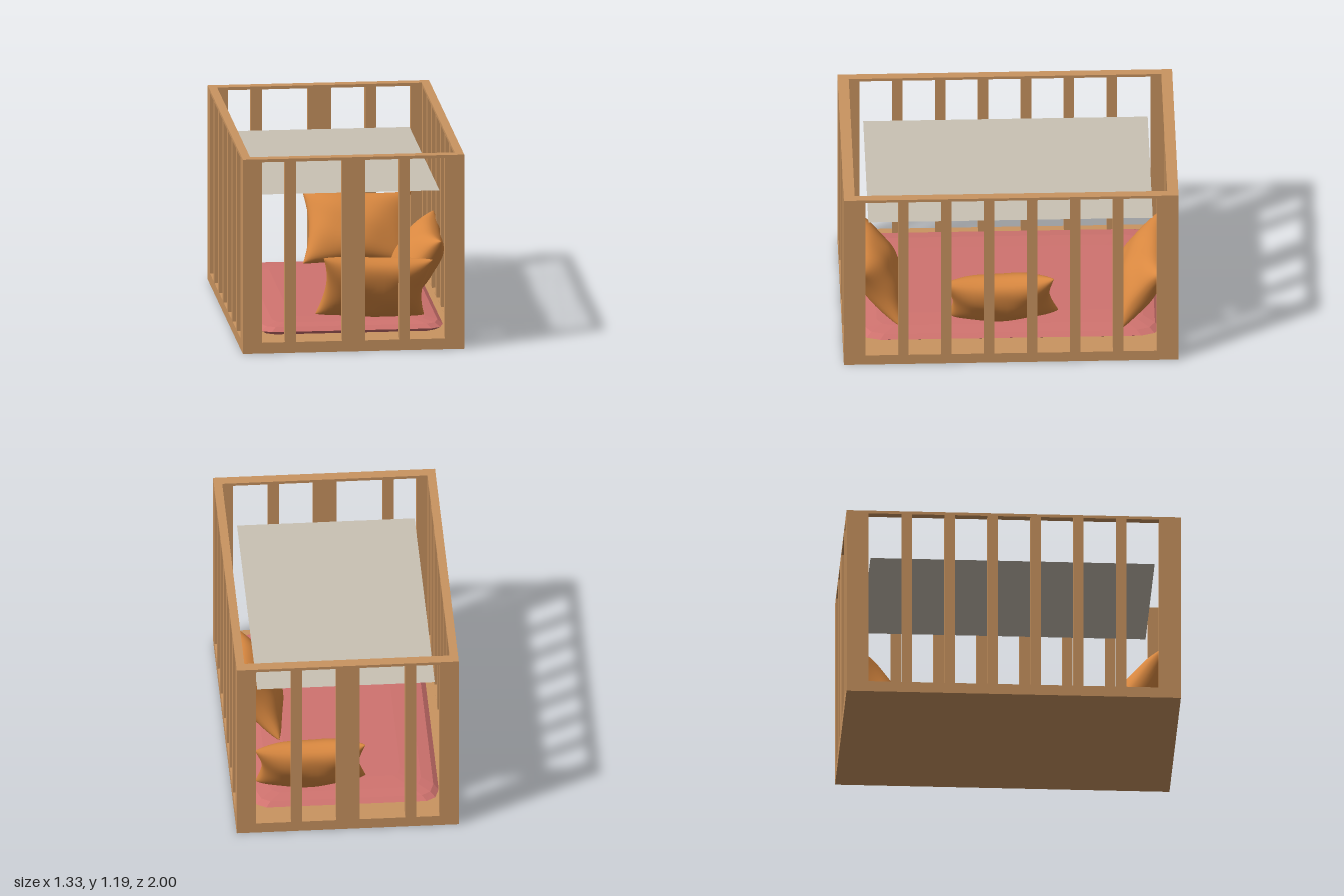
import * as THREE from 'three';
import { mergeVertices, mergeGeometries } from 'three/addons/utils/BufferGeometryUtils.js';

const wood = new THREE.MeshStandardMaterial({ color: 0xc99460 });
wood.name = 'wood';
const pink = new THREE.MeshStandardMaterial({ color: 0xd0736f, flatShading: true });
pink.name = 'mattress pink';
const orange = new THREE.MeshStandardMaterial({ color: 0xd98840 });
orange.name = 'pillow orange';
const grey = new THREE.MeshStandardMaterial({ color: 0xc9c1b4, side: THREE.DoubleSide });
grey.name = 'canopy grey';

const BASE = 0.065, TOP = 1.19, RAIL = 1.172;

function rect(PathType, x0, y0, x1, y1) {
  const p = new PathType();
  p.moveTo(x0, y0);
  p.lineTo(x1, y0);
  p.lineTo(x1, y1);
  p.lineTo(x0, y1);
  p.closePath();
  return p;
}

// Slatted wall: a panel pierced by the openings between its bars
function wall(name, half, depth, openings) {
  const shape = rect(THREE.Shape, -half, BASE, half, TOP);
  for (const [a, b] of openings) shape.holes.push(rect(THREE.Path, a, BASE + 0.001, b, RAIL));
  const geo = new THREE.ExtrudeGeometry(shape, { depth, bevelEnabled: false });
  geo.translate(0, 0, -depth / 2);
  const mesh = new THREE.Mesh(geo, wood);
  mesh.name = name;
  return mesh;
}

// Mattress: chamfered outline lofted through rings of different inset
function mattressGeometry() {
  const corner = [[0.56, 0.78], [0.535, 0.86], [0.48, 0.895]];
  const mirror = (sx, sz) => corner.map(([x, z]) => [x * sx, z * sz]);
  const outline = [...mirror(1, 1), ...mirror(-1, 1).reverse(), ...mirror(-1, -1), ...mirror(1, -1).reverse()];
  const rings = [[0.066, 0.11], [0.084, 0.03], [0.105, 0], [0.128, 0.03], [0.14, 0.1], [0.147, 0.22]];
  const pos = [], idx = [], n = outline.length;
  for (const [y, inset] of rings)
    for (const [x, z] of outline) pos.push(x * (1 - inset / 0.56), y, z * (1 - inset / 0.9));
  for (let r = 0; r < rings.length - 1; r++)
    for (let i = 0; i < n; i++) {
      const a = r * n + i, b = r * n + (i + 1) % n;
      idx.push(a, a + n, b, b, a + n, b + n);
    }
  const last = (rings.length - 1) * n;
  for (let i = 1; i < n - 1; i++) {
    idx.push(0, i, i + 1);
    idx.push(last, last + i + 1, last + i);
  }
  const geo = new THREE.BufferGeometry();
  geo.setAttribute('position', new THREE.Float32BufferAttribute(pos, 3));
  geo.setIndex(idx);
  geo.computeVertexNormals();
  return geo;
}

// Pillow: two bulging sheets with pinched corners and soft dents
function pillowGeometry(w, h, t) {
  const sheets = [0, Math.PI].map((turn) => {
    const g = new THREE.PlaneGeometry(2, 2, 24, 24);
    const p = g.attributes.position;
    for (let i = 0; i < p.count; i++) {
      const u = Math.sin(p.getX(i) * Math.PI / 2), v = Math.sin(p.getY(i) * Math.PI / 2);
      const cu = Math.max(0, 1 - u * u), cv = Math.max(0, 1 - v * v);
      const dent = 1 + 0.06 * Math.sin(5 * u + 2 * v) * Math.cos(4 * v - u);
      p.setXYZ(i, (w / 2) * u * (1 - 0.12 * cv), (h / 2) * v * (1 - 0.1 * cu),
        (t / 2) * Math.pow(cu * cv, 0.42) * dent);
    }
    g.deleteAttribute('uv');
    g.deleteAttribute('normal');
    return g.rotateY(turn);
  });
  const geo = mergeVertices(mergeGeometries(sheets), 1e-4);
  geo.computeVertexNormals();
  return geo;
}

export function createModel() {
  const model = new THREE.Group();
  model.name = 'crib';

  const base = new THREE.Mesh(new THREE.BoxGeometry(1.33, BASE, 2), wood);
  base.name = 'base';
  base.position.y = BASE / 2;
  model.add(base);

  // End walls with a wide middle board
  const endGaps = [[-0.55, -0.412], [-0.345, -0.07], [0.07, 0.275], [0.34, 0.55]];
  for (const [name, z] of [['frontWall', 0.967], ['backWall', -0.967]]) {
    const end = wall(name, 0.665, 0.066, endGaps);
    end.position.z = z;
    model.add(end);
  }

  // Side walls with six even slats
  const sideGaps = [];
  let start = -0.87;
  for (let i = 0; i < 6; i++) {
    const slat = -0.67 + i * 0.2566;
    sideGaps.push([start, slat]);
    start = slat + 0.062;
  }
  sideGaps.push([start, 0.87]);
  for (const [name, x] of [['leftWall', 0.64], ['rightWall', -0.64]]) {
    const side = wall(name, 0.934, 0.05, sideGaps);
    side.rotation.y = -Math.PI / 2;
    side.position.x = x;
    model.add(side);
  }

  const mattress = new THREE.Mesh(mattressGeometry(), pink);
  mattress.name = 'mattress';
  model.add(mattress);

  // Pillows leaning on three walls: position, facing and roll
  const pillowGeo = pillowGeometry(0.66, 0.47, 0.245);
  for (const [name, x, z, yaw, roll] of [
    ['frontPillow', 0.145, 0.79, 0, -0.05],
    ['backPillow', 0.21, -0.79, Math.PI, 0.04],
    ['leftPillow', 0.475, 0.055, Math.PI / 2, 0.07],
  ]) {
    const holder = new THREE.Group();
    holder.name = name;
    holder.position.set(x, 0.345, z);
    holder.rotation.y = yaw;
    const pillow = new THREE.Mesh(pillowGeo, orange);
    pillow.name = name + 'Cushion';
    pillow.rotation.set(0.57, 0, roll);
    holder.add(pillow);
    model.add(holder);
  }

  // Flat sheet hanging inside the frame
  const canopy = new THREE.Mesh(new THREE.PlaneGeometry(1.065, 1.7), grey);
  canopy.name = 'canopy';
  canopy.rotation.x = -Math.PI / 2;
  canopy.position.y = 0.94;
  model.add(canopy);

  return model;
}
